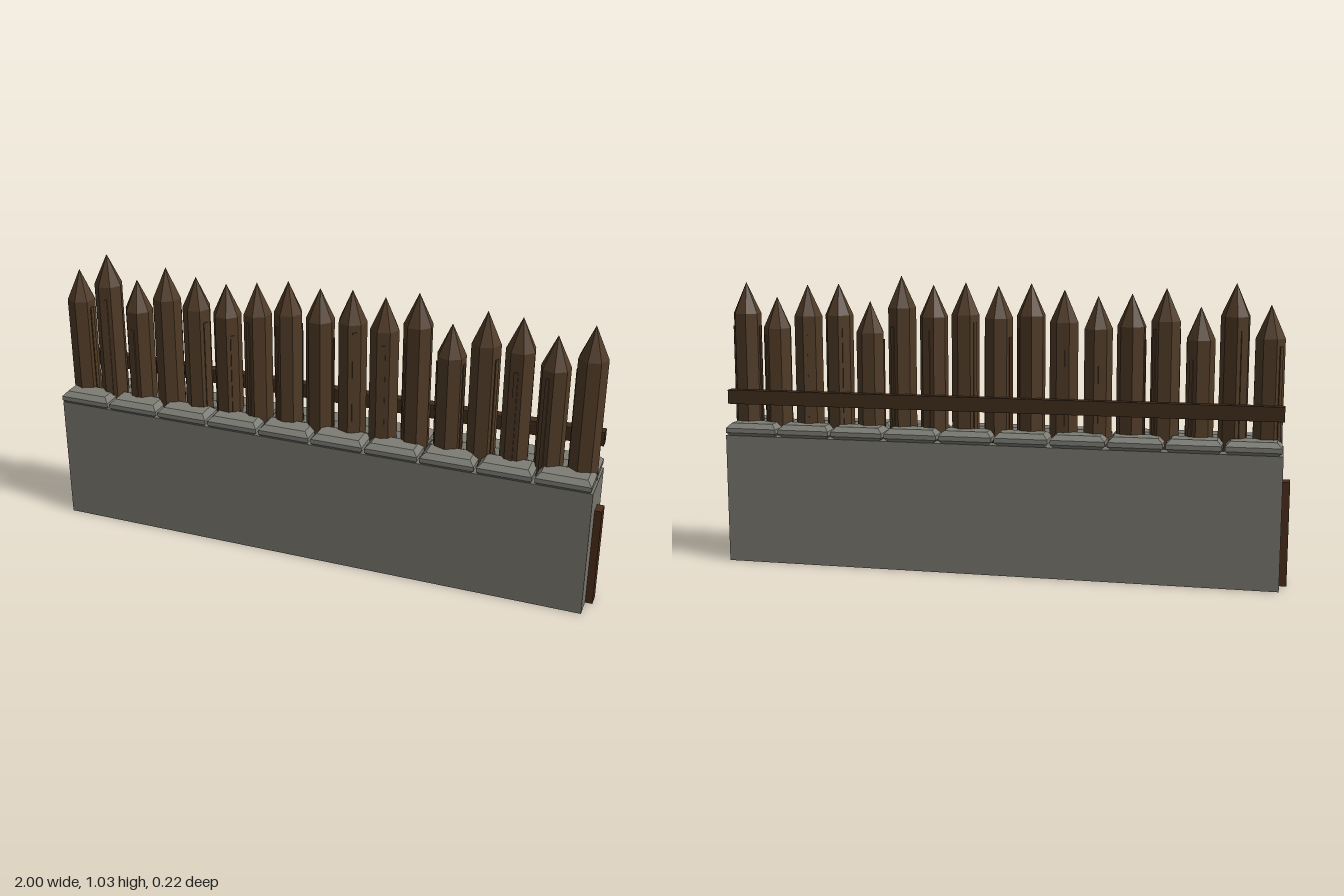
import * as THREE from 'three';

const mat = (color) => new THREE.MeshStandardMaterial({ color, flatShading: true });

function addMesh(parent, name, geometry, material, x = 0, y = 0, z = 0) {
  const mesh = new THREE.Mesh(geometry, material);
  mesh.name = name;
  mesh.position.set(x, y, z);
  parent.add(mesh);
  return mesh;
}

// Box with all edges chamfered, centred on its origin
function chamferedBox(w, h, d, c) {
  const a = w / 2 - c, b = d / 2 - c;
  const shape = new THREE.Shape([
    new THREE.Vector2(-a, -b), new THREE.Vector2(a, -b),
    new THREE.Vector2(a, b), new THREE.Vector2(-a, b),
  ]);
  const geo = new THREE.ExtrudeGeometry(shape, {
    depth: h - 2 * c, bevelEnabled: true, bevelThickness: c, bevelSize: c, bevelSegments: 1,
  });
  return geo.translate(0, 0, c - h / 2).rotateX(-Math.PI / 2);
}

export function createModel() {
  const model = new THREE.Group();
  model.name = 'palisadeWall';
  const stone = mat(0x77756c), cap = mat(0x7d7d76);
  const wood = mat(0x4f3a26), railWood = mat(0x3f2c1c), postWood = mat(0x4a2c1a);

  // Stone base
  addMesh(model, 'stoneBase', new THREE.BoxGeometry(1.95, 0.46, 0.194), stone, 0, 0.23, 0);

  // Two rows of capstones
  const capGeo = chamferedBox(0.186, 0.05, 0.1, 0.017);
  for (let i = 0; i < 10; i++) {
    for (const side of [1, -1]) {
      addMesh(model, 'capstone', capGeo, cap, -0.8775 + i * 0.195, 0.48, side * 0.058);
    }
  }

  // Sharpened stakes with a raised bark strip, each at its own height and turn
  const tips = [0.95, 1.02, 0.94, 1.0, 0.98, 0.97, 0.99, 1.01, 1.0, 1.01, 1.0, 1.03, 0.94, 1.0, 0.995, 0.95, 1.0];
  const radius = 0.05, point = 0.11;
  tips.forEach((tip, i) => {
    const stake = new THREE.Group();
    stake.name = 'stake';
    stake.position.x = -0.92 + i * 0.115;
    stake.rotation.y = i * 2.4;
    model.add(stake);
    const shoulder = tip - point;
    const shaft = new THREE.CylinderGeometry(radius, radius, shoulder - 0.002, 7, 1);
    addMesh(stake, 'stakeShaft', shaft, wood, 0, shoulder / 2 + 0.001, 0);
    addMesh(stake, 'stakePoint', new THREE.ConeGeometry(radius, point, 7, 1, true), wood, 0, shoulder + point / 2, 0);
    const top = shoulder - 0.025 - (i % 3) * 0.02;
    for (const turn of [1, 4]) {
      const angle = (turn + 0.5) * Math.PI * 2 / 7;
      const strip = addMesh(stake, 'barkStrip', new THREE.BoxGeometry(0.014, top - 0.4, 0.008), wood,
        Math.sin(angle) * 0.045, (top + 0.4) / 2, Math.cos(angle) * 0.045);
      strip.rotation.y = angle;
    }
  });

  // Rail along the back
  addMesh(model, 'backRail', new THREE.BoxGeometry(1.95, 0.05, 0.034), railWood, 0, 0.595, -0.052);

  // Short posts at both ends
  for (const side of [1, -1]) {
    addMesh(model, 'endPost', new THREE.BoxGeometry(0.05, 0.36, 0.047), postWood, side * 0.975, 0.18, 0);
  }
  return model;
}
